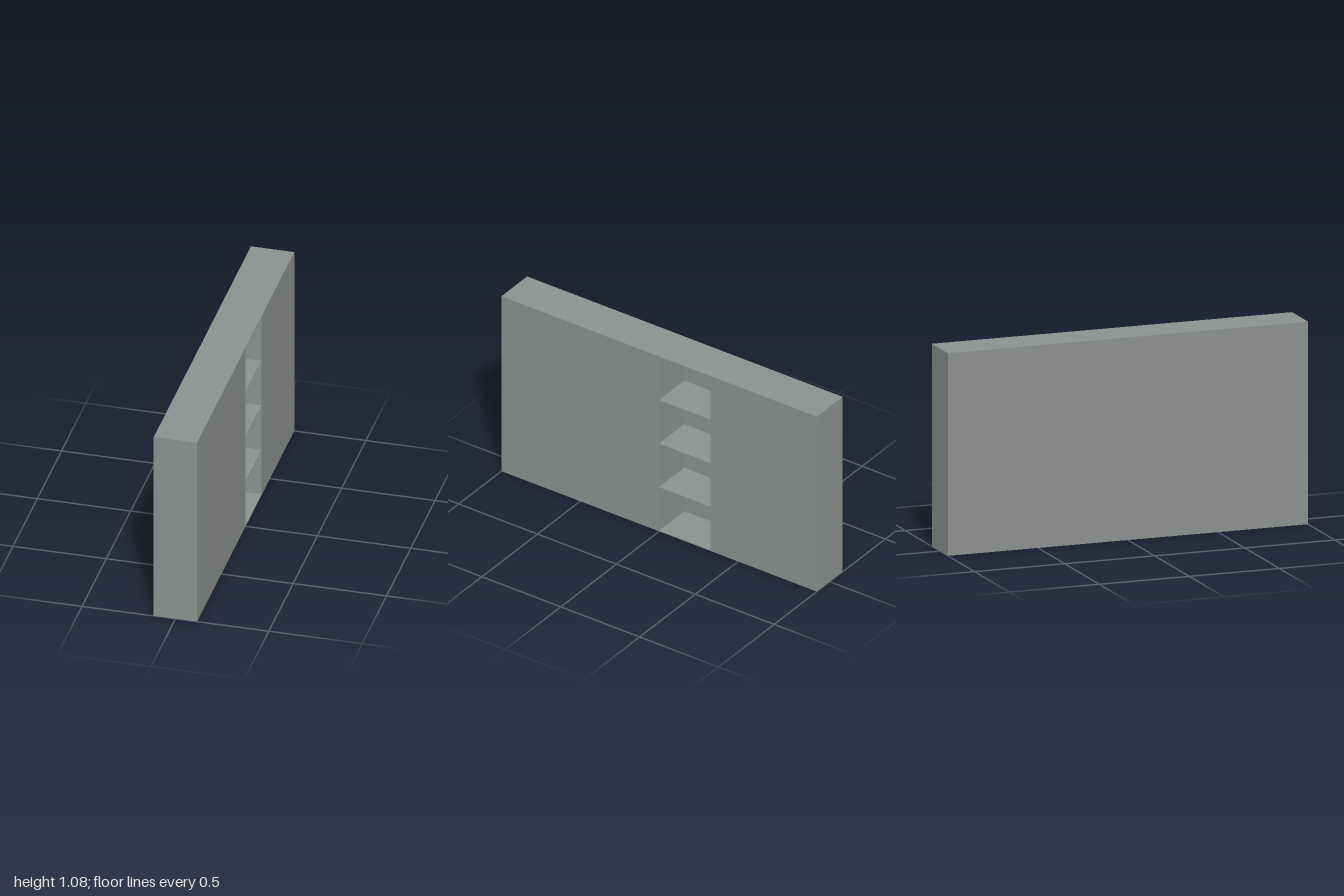
import * as THREE from 'three';

const W = 0.232, H = 1.078, L = 2; // thickness, height, length
const BOARD = 0.005;               // shelf and back panel thickness
const NICHES = 4, NICHE_W = 0.327;

function rect(shape, u0, y0, u1, y1) {
  shape.moveTo(u0, y0);
  shape.lineTo(u1, y0);
  shape.lineTo(u1, y1);
  shape.lineTo(u0, y1);
  shape.closePath();
  return shape;
}

export function createModel() {
  const group = new THREE.Group();
  group.name = 'wallWithNiches';
  const grey = new THREE.MeshStandardMaterial({ color: 0x8c908e });
  grey.name = 'grey';

  // Side elevation of the wall with a column of open niches
  const profile = rect(new THREE.Shape(), -L / 2, 0, L / 2, H);
  const nicheH = (H - BOARD * (NICHES + 1)) / NICHES;
  for (let i = 0; i < NICHES; i++) {
    const y = BOARD + i * (nicheH + BOARD);
    profile.holes.push(rect(new THREE.Path(), 0, y, NICHE_W, y + nicheH));
  }
  const bodyGeo = new THREE.ExtrudeGeometry(profile, { depth: W - BOARD, bevelEnabled: false });
  bodyGeo.rotateY(Math.PI / 2);
  bodyGeo.translate(-W / 2 + BOARD, 0, 0);
  const body = new THREE.Mesh(bodyGeo, grey);
  body.name = 'wallBody';
  group.add(body);

  // Thin panel closing the niches on the far side
  const back = new THREE.Mesh(new THREE.BoxGeometry(BOARD, H, L), grey);
  back.name = 'backPanel';
  back.position.set(-W / 2 + BOARD / 2, H / 2, 0);
  group.add(back);

  return group;
}
